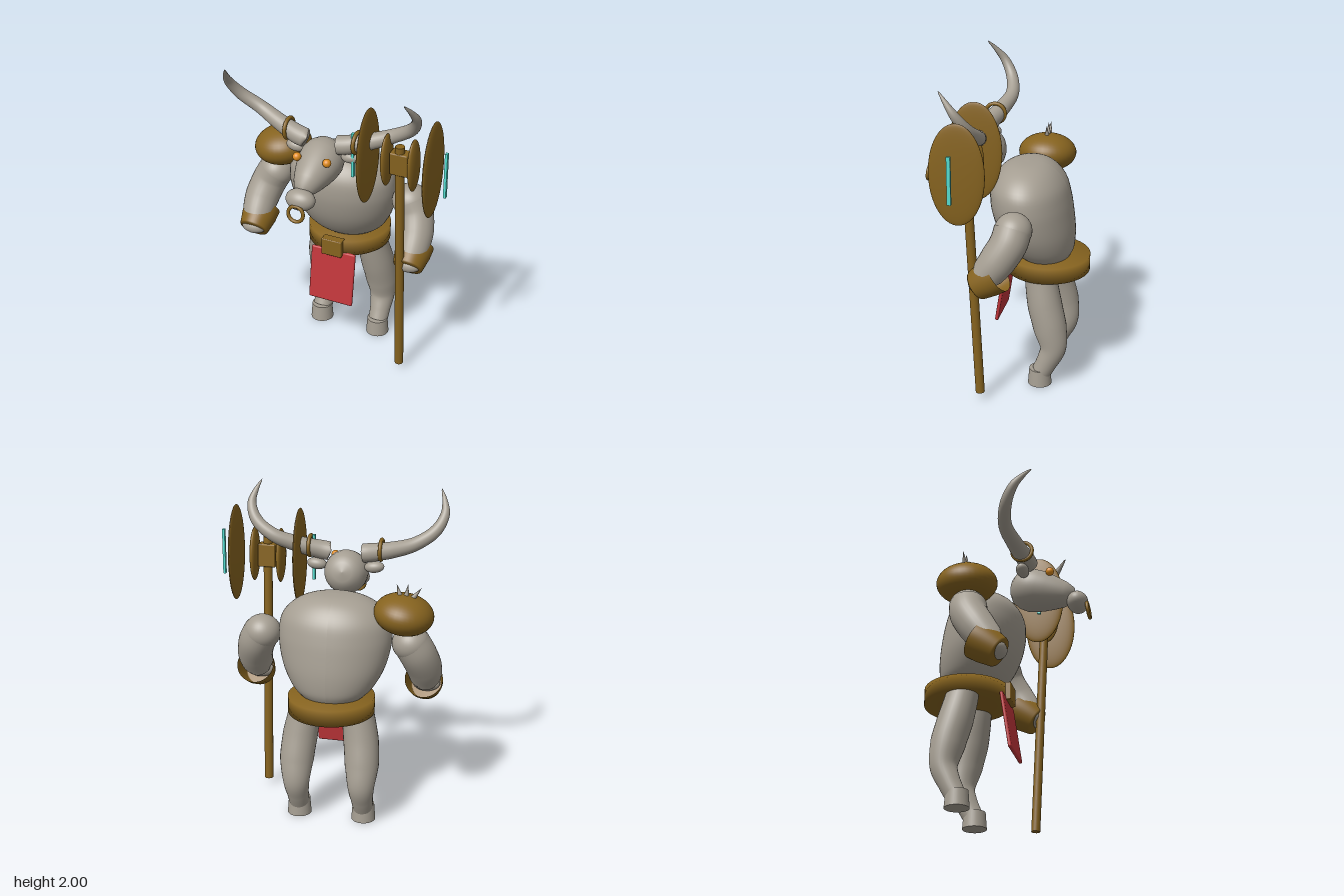
import * as THREE from 'three';
import { RoundedBoxGeometry } from 'three/addons/geometries/RoundedBoxGeometry.js';

const V = (x, y, z) => new THREE.Vector3(x, y, z);
const mat = (name, color) => Object.assign(new THREE.MeshStandardMaterial({ color }), { name });

// Tube through points [x, y, z, radius], closed at both ends
function limb(pts, segs = 40, sides = 28) {
  const curve = new THREE.CatmullRomCurve3(pts.map(p => V(p[0], p[1], p[2])));
  const geo = new THREE.TubeGeometry(curve, segs, 1, sides);
  const pos = geo.attributes.position, v = V(0, 0, 0);
  for (let i = 0; i <= segs; i++) {
    const u = i / segs, c = curve.getPointAt(u);
    const t = curve.getUtoTmapping(u) * (pts.length - 1);
    const k = Math.min(Math.floor(t), pts.length - 2);
    const r = i === 0 || i === segs ? 0 : THREE.MathUtils.lerp(pts[k][3], pts[k + 1][3], t - k);
    for (let j = 0; j <= sides; j++) {
      const n = i * (sides + 1) + j;
      v.fromBufferAttribute(pos, n).sub(c).multiplyScalar(r).add(c);
      pos.setXYZ(n, v.x, v.y, v.z);
    }
  }
  return geo;
}

const lathe = (pts, segs = 48) =>
  new THREE.LatheGeometry(pts.map(p => new THREE.Vector2(p[0], p[1])), segs);

function torsoGeometry() {
  const profile = new THREE.SplineCurve([
    [0.001, 0.785], [0.14, 0.795], [0.215, 0.84], [0.265, 0.9], [0.311, 0.99], [0.338, 1.09], [0.347, 1.19],
    [0.327, 1.29], [0.25, 1.37], [0.14, 1.415], [0.001, 1.425],
  ].map(p => new THREE.Vector2(p[0], p[1]))).getPoints(44);
  const geo = new THREE.LatheGeometry(profile, 56, Math.PI);
  const pos = geo.attributes.position;
  // Flatten front to back and lean the upper body forward
  for (let i = 0; i < pos.count; i++) {
    const q = ((1.42 - pos.getY(i)) / 0.62) ** 2;
    pos.setZ(i, pos.getZ(i) * (0.69 + 0.14 * q) - 0.13 - 0.12 * q);
  }
  geo.computeVertexNormals();
  return geo;
}

export function createModel() {
  const model = new THREE.Group();
  model.name = 'hornedWarrior';
  const hide = mat('hide', 0xa59e92), gold = mat('bronze', 0x86631f), red = mat('cloth', 0xc0353a);
  const teal = mat('edge', 0x55ddd0), orange = mat('eye', 0xdf8c1e);
  gold.side = THREE.DoubleSide;

  const body = new THREE.Group();
  body.name = 'body';
  body.position.x = -0.0745;
  model.add(body);

  const add = (parent, name, geo, material, x = 0, y = 0, z = 0) => {
    const m = new THREE.Mesh(geo, material);
    m.name = name;
    m.position.set(x, y, z);
    parent.add(m);
    return m;
  };
  const ball = (parent, name, material, p, s) => {
    const m = add(parent, name, new THREE.SphereGeometry(1, 36, 24), material, ...p);
    m.scale.set(...s);
    return m;
  };

  // Torso, belt, buckle and loincloth
  add(body, 'torso', torsoGeometry(), hide);
  add(body, 'belt', lathe([[0, -0.05], [0.264, -0.05], [0.264, 0.05], [0, 0.05]], 56), gold, 0, 0.77, -0.258);
  add(body, 'buckle', new RoundedBoxGeometry(0.137, 0.115, 0.06, 2, 0.006), gold, -0.002, 0.77, 0);
  const cloth = add(body, 'loincloth', new RoundedBoxGeometry(0.304, 0.365, 0.022, 2, 0.01), red, -0.001, 0.555, 0.015);
  cloth.rotation.x = -0.15;

  // Head: tapered along a downward sloping axis
  const head = add(body, 'head', lathe([
    [0, 0], [0.06, 0.01], [0.1, 0.035], [0.126, 0.08], [0.136, 0.13], [0.132, 0.18], [0.119, 0.24],
    [0.1, 0.3], [0.08, 0.355], [0.055, 0.4], [0, 0.425],
  ]), hide, 0, 1.508, 0.022);
  head.rotation.x = Math.PI / 2 + 0.26;
  ball(body, 'snout', hide, [0, 1.355, 0.44], [0.092, 0.066, 0.066]);
  const ring = add(body, 'noseRing', new THREE.TorusGeometry(0.048, 0.011, 12, 36), gold, 0, 1.292, 0.506);
  ring.rotation.x = -0.12;

  // Paired parts, mirrored across the body
  for (const s of [1, -1]) {
    const side = s > 0 ? 'left' : 'right';
    ball(body, side + 'Eye', orange, [s * 0.097, 1.54, 0.285], [0.026, 0.026, 0.026]);
    const ear = ball(body, side + 'Ear', hide, [s * 0.18, 1.522, 0.13], [0.062, 0.036, 0.04]);
    ear.rotation.z = s * 0.1;

    add(body, side + 'Horn', limb([
      [s * 0.095, 1.597, 0.155, 0.058], [s * 0.16, 1.608, 0.147, 0.058], [s * 0.3, 1.645, 0.11, 0.05],
      [s * 0.44, 1.7, 0.08, 0.042], [s * 0.555, 1.78, 0.11, 0.037], [s * 0.6, 1.87, 0.165, 0.028],
      [s * 0.588, 1.94, 0.22, 0.016], [s * 0.561, 2.0, 0.272, 0.003],
    ], 56), hide);
    const band = add(body, side + 'HornBand', new THREE.TorusGeometry(0.062, 0.012, 12, 36), gold, s * 0.222, 1.632, 0.137);
    band.rotation.y = Math.PI / 2;

    // Arm with rounded shoulder, forward tilted bracer and fist
    add(body, side + 'Arm', limb([
      [s * 0.457, 1.16, -0.14, 0.113], [s * 0.5, 1.08, -0.122, 0.113], [s * 0.53, 0.98, -0.065, 0.11],
      [s * 0.535, 0.9, -0.01, 0.1], [s * 0.533, 0.84, 0.03, 0.07],
    ]), hide);
    ball(body, side + 'Shoulder', hide, [s * 0.46, 1.148, -0.14], [0.114, 0.108, 0.113]);
    const bracer = add(body, side + 'Bracer', lathe([
      [0, 0], [0.088, 0], [0.094, 0.01], [0.112, 0.1], [0.116, 0.165],
    ]), gold, s * 0.533, 0.8, 0.068);
    bracer.rotation.x = -0.95;
    ball(body, side + 'Fist', hide, [s * 0.533, 0.82, 0.055], [0.085, 0.05, 0.058]);

    // Leg and hoof
    add(body, side + 'Leg', limb([
      [s * 0.15, 0.8, -0.235, 0.09], [s * 0.165, 0.7, -0.25, 0.1], [s * 0.19, 0.55, -0.28, 0.108],
      [s * 0.204, 0.4, -0.318, 0.105], [s * 0.204, 0.26, -0.34, 0.082], [s * 0.204, 0.16, -0.305, 0.068],
      [s * 0.204, 0.07, -0.262, 0.062],
    ]), hide);
    add(body, side + 'Hoof', new THREE.CylinderGeometry(0.067, 0.075, 0.105, 32), hide, s * 0.205, 0.0525, -0.257);
  }

  // Shoulder guard with three fanned spikes
  const guard = ball(model, 'shoulderGuard', gold, [-0.492, 1.335, -0.16], [0.181, 0.121, 0.184]);
  guard.rotation.z = 0.15;
  for (const [x, tipX, tipY] of [[-0.53, -0.595, 1.505], [-0.5, -0.515, 1.525], [-0.475, -0.445, 1.52]]) {
    const base = V(x, 1.42, -0.16), dir = V(tipX, tipY, -0.16).sub(base), h = dir.length();
    const spike = add(model, 'spike', new THREE.ConeGeometry(0.022, h, 16), hide);
    spike.position.copy(base).addScaledVector(dir, 0.5);
    spike.quaternion.setFromUnitVectors(V(0, 1, 0), dir.normalize());
  }

  // Double axe
  const axe = new THREE.Group();
  axe.name = 'axe';
  axe.position.set(0.419, 1.555, 0.145);
  model.add(axe);
  const shaft = add(axe, 'shaft', new THREE.CylinderGeometry(0.028, 0.028, 1.62, 24), gold, 0, -0.695, -0.045);
  shaft.rotation.x = 0.05;
  const hub = add(axe, 'hub', new RoundedBoxGeometry(0.112, 0.145, 0.075, 2, 0.008), gold, 0, 0.002, -0.017);
  hub.rotation.x = 0.05;
  for (const s of [1, -1]) {
    const inner = ball(axe, 'innerBlade', gold, [s * 0.084, 0.003, -0.015], [0.026, 0.171, 0.083]);
    inner.rotation.x = 0.05;
    ball(axe, 'outerBlade', gold, [s * 0.204, 0.002, -0.012], [0.023, 0.306, 0.166]);
    add(axe, 'bladeEdge', new THREE.BoxGeometry(0.016, 0.287, 0.023), teal, s * 0.29, -0.002, 0.008);
  }
  return model;
}
